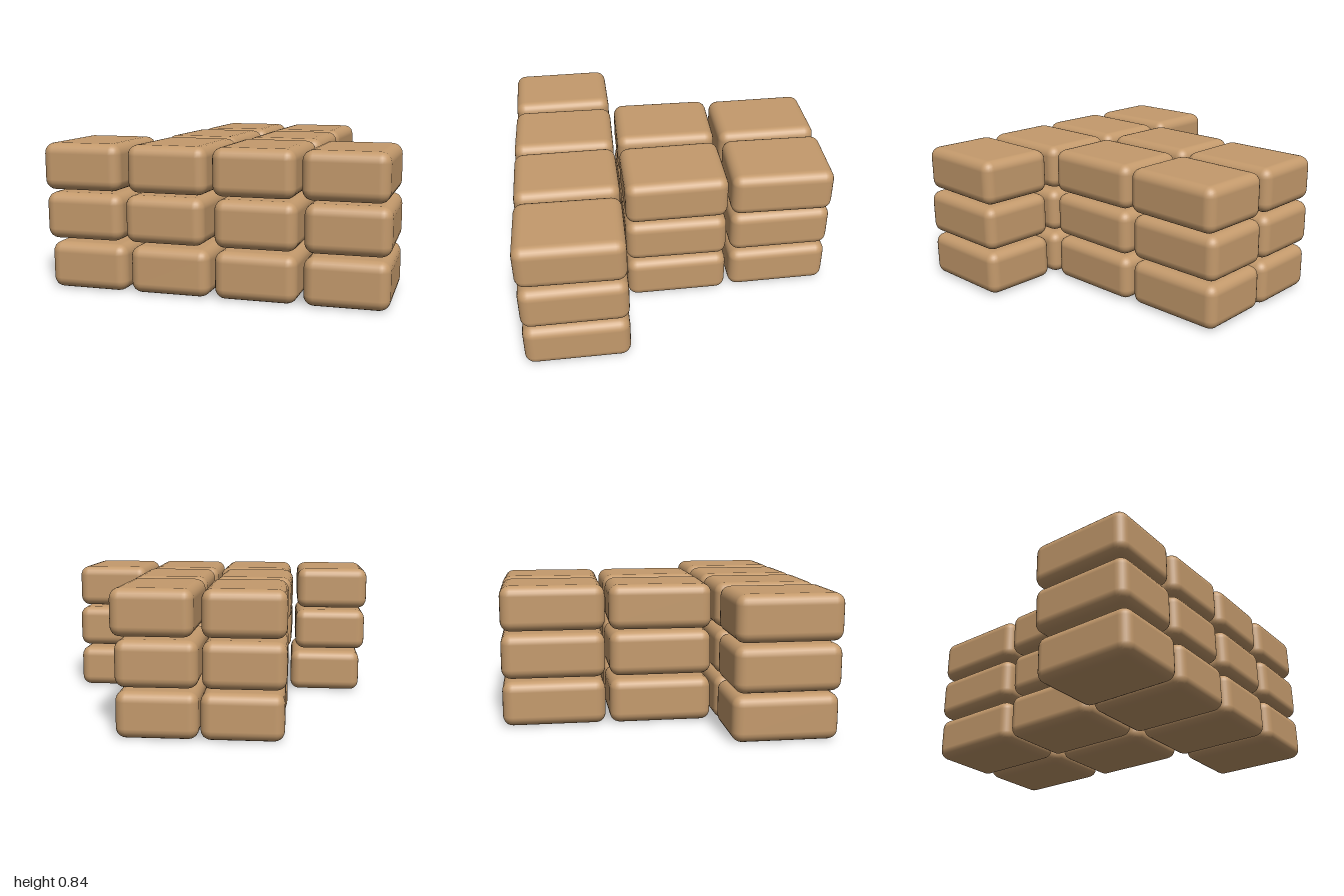
import * as THREE from 'three';
import { RoundedBoxGeometry } from 'three/addons/geometries/RoundedBoxGeometry.js';

export function createModel() {
  const group = new THREE.Group();
  group.name = 'stackedSacks';

  const tan = new THREE.MeshStandardMaterial({ color: 0xc49a6c });
  tan.name = 'tan';

  // One soft-edged block shared by every stack
  const block = new RoundedBoxGeometry(0.468, 0.27, 0.615, 3, 0.06);
  const layerY = [0.137, 0.425, 0.709];

  // Each row: its z, then per layer (bottom to top) the [x, turn] of each block
  const rows = [
    { name: 'front', z: 0.64, layers: [
      [[-0.725, 0], [-0.235, 0.005], [0.262, 0], [0.76, 0.005]],
      [[-0.752, 0.01], [-0.26, -0.01], [0.26, 0.005], [0.762, 0.01]],
      [[-0.76, 0.01], [-0.242, -0.015], [0.25, 0.005], [0.752, -0.01]],
    ] },
    { name: 'middle', z: 0, layers: [
      [[-0.24, 0.005], [0.26, 0.005]],
      [[-0.235, 0.01], [0.26, -0.005]],
      [[-0.26, -0.015], [0.26, 0.01]],
    ] },
    { name: 'back', z: -0.64, layers: [
      [[-0.235, 0.005], [0.242, 0.01]],
      [[-0.245, 0], [0.242, 0.005]],
      [[-0.242, 0.005], [0.26, -0.018]],
    ] },
  ];

  for (const row of rows) {
    row.layers.forEach((blocks, level) => {
      blocks.forEach(([x, turn], i) => {
        const mesh = new THREE.Mesh(block, tan);
        mesh.name = `${row.name}Block${level + 1}_${i + 1}`;
        mesh.position.set(x, layerY[level], row.z);
        mesh.rotation.y = turn;
        group.add(mesh);
      });
    });
  }
  return group;
}
